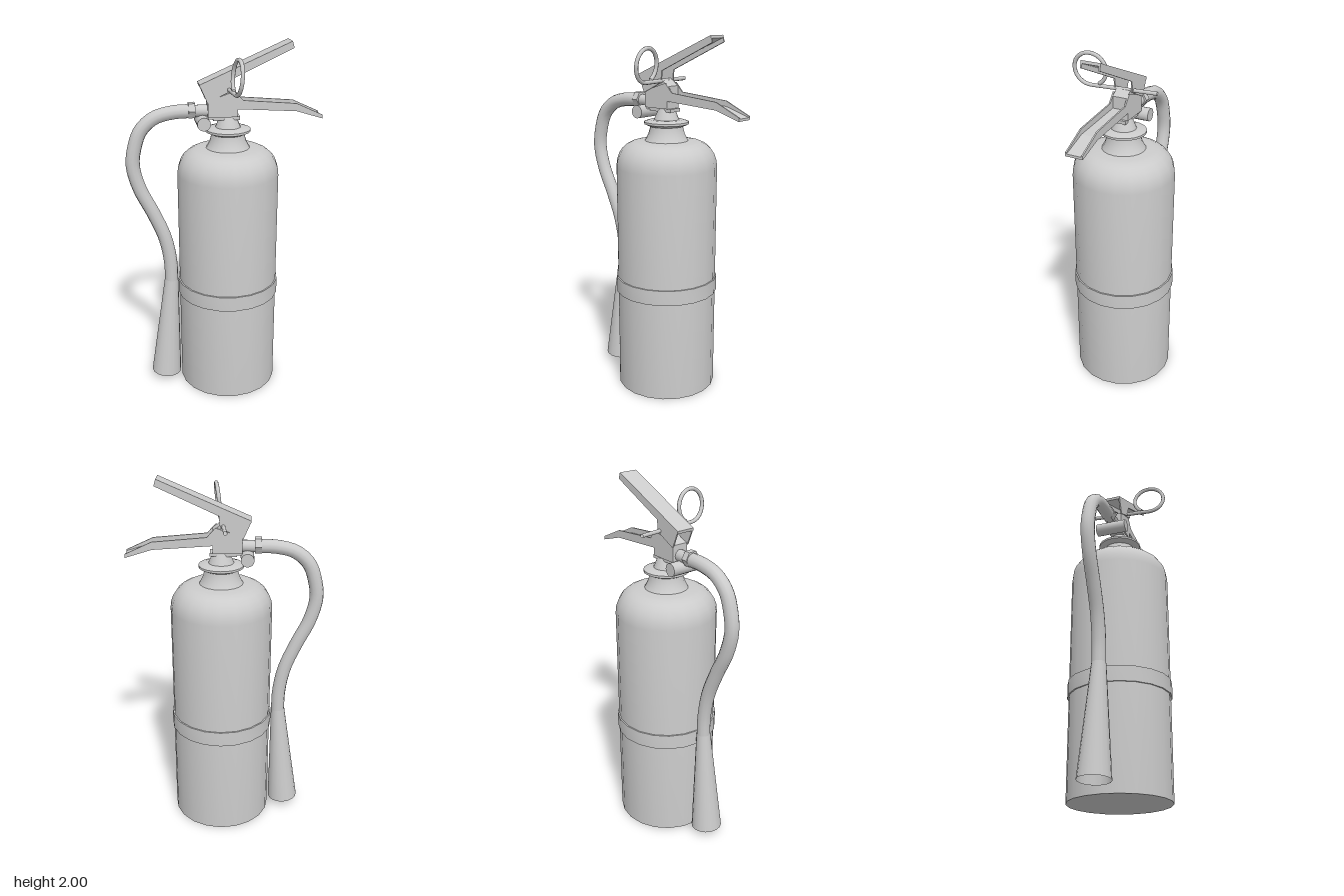
import * as THREE from 'three';
import { toCreasedNormals } from 'three/addons/utils/BufferGeometryUtils.js';

const AXIS = 0.025; // x of the cylinder axis
const material = new THREE.MeshStandardMaterial({ color: 0xcccccc });
const openMaterial = new THREE.MeshStandardMaterial({ color: 0xcccccc, side: THREE.DoubleSide });
const v = (x, y, z = 0) => new THREE.Vector3(x, y, z);

function part(parent, name, geometry, mat = material) {
  const mesh = new THREE.Mesh(geometry, mat);
  mesh.name = name;
  parent.add(mesh);
  return mesh;
}

// Turned part around the cylinder axis, from [radius, y] pairs
function turned(parent, name, profile, sides) {
  const geometry = new THREE.LatheGeometry(profile.map(([r, y]) => new THREE.Vector2(r, y)), sides);
  part(parent, name, toCreasedNormals(geometry, 0.6)).position.x = AXIS;
}

// Side profile in x, y extruded from z0 to z1
function slab(parent, name, points, z0, z1) {
  const shape = new THREE.Shape(points.map(([x, y]) => new THREE.Vector2(x, y)));
  const geometry = new THREE.ExtrudeGeometry(shape, { depth: z1 - z0, bevelEnabled: false });
  geometry.translate(0, 0, z0);
  part(parent, name, geometry);
}

// Folded sheet channel: one web plate and two mirrored cheeks
function channel(parent, name, web, cheek, half, thickness) {
  const group = new THREE.Group();
  group.name = name;
  slab(group, name + 'Web', web, -half, half);
  slab(group, name + 'CheekFront', cheek, half - thickness, half);
  slab(group, name + 'CheekBack', cheek, -half, -half + thickness);
  parent.add(group);
}

// Cylinder lying along x or z
function rod(parent, name, axis, radius, length, center, sides) {
  const geometry = new THREE.CylinderGeometry(radius, radius, length, sides);
  if (axis === 'x') geometry.rotateZ(Math.PI / 2);
  else geometry.rotateX(Math.PI / 2);
  part(parent, name, toCreasedNormals(geometry, 0.6)).position.copy(center);
}

export function createModel() {
  const model = new THREE.Group();
  model.name = 'fireExtinguisher';

  // Tank with rounded shoulder
  const tank = [[0, 0], [0.28, 0], [0.28, 1.29]];
  for (let i = 1; i <= 6; i++) {
    const a = (i / 6) * Math.PI / 2;
    tank.push([0.16 + 0.12 * Math.cos(a), 1.29 + 0.14 * Math.sin(a)]);
  }
  tank.push([0.1, 1.435]);
  turned(model, 'tank', tank, 20);
  turned(model, 'band', [[0.276, 0.57], [0.288, 0.57], [0.288, 0.655], [0.276, 0.655]], 20);

  // Neck, collar and valve stem
  turned(model, 'neck', [[0.125, 1.425], [0.115, 1.44], [0.1, 1.47], [0.088, 1.515], [0.088, 1.525]], 20);
  turned(model, 'collar', [[0, 1.512], [0.095, 1.512], [0.123, 1.525], [0.123, 1.537], [0.09, 1.548], [0, 1.548]], 20);
  turned(model, 'valveStem', [[0.072, 1.54], [0.066, 1.555], [0.045, 1.605], [0, 1.605]], 16);

  // Valve body
  slab(model, 'valveBody', [[-0.088, 1.6], [0.07, 1.6], [0.07, 1.73], [0.03, 1.76], [-0.088, 1.7]], -0.04, 0.04);
  slab(model, 'valveBase', [[-0.06, 1.592], [0.085, 1.592], [0.085, 1.61], [-0.06, 1.61]], -0.04, 0.04);

  // Upper lever, open underneath
  channel(model, 'lever',
    [[-0.13, 1.772], [0.358, 1.985], [0.355, 2], [-0.133, 1.787]],
    [[-0.133, 1.785], [-0.092, 1.69], [0.03, 1.75], [0.035, 1.812], [0.366, 1.965], [0.355, 2]],
    0.053, 0.008);

  // Lower carrying handle, open above
  channel(model, 'handle',
    [[-0.02, 1.64], [0.07, 1.652], [0.39, 1.63], [0.535, 1.585], [0.535, 1.598], [0.392, 1.643], [0.07, 1.665], [-0.02, 1.653]],
    [[-0.088, 1.61], [0.07, 1.61], [0.07, 1.652], [0.39, 1.63], [0.535, 1.585], [0.535, 1.605],
      [0.39, 1.672], [0.1, 1.698], [0.055, 1.748], [-0.088, 1.7]],
    0.048, 0.008);

  // Side fitting and hose coupling
  rod(model, 'gaugeFitting', 'z', 0.036, 0.176, v(-0.115, 1.585), 16);
  rod(model, 'hoseOutlet', 'x', 0.032, 0.1, v(-0.115, 1.64), 16);
  rod(model, 'hoseNut', 'x', 0.045, 0.036, v(-0.172, 1.645), 6);

  // Hose
  const hosePath = new THREE.CatmullRomCurve3([
    v(-0.17, 1.64), v(-0.27, 1.636), v(-0.37, 1.61), v(-0.445, 1.545), v(-0.482, 1.45), v(-0.495, 1.35),
    v(-0.465, 1.22), v(-0.395, 1.07), v(-0.335, 0.92), v(-0.307, 0.77), v(-0.304, 0.62),
  ]);
  part(model, 'hose', new THREE.TubeGeometry(hosePath, 40, 0.038, 12));

  // Flared nozzle, open at the bottom
  const nozzleTop = v(-0.304, 0.655);
  const nozzleEnd = v(-0.349, 0.045);
  const nozzle = part(model, 'nozzle',
    new THREE.CylinderGeometry(0.039, 0.087, nozzleTop.distanceTo(nozzleEnd), 16, 1, true), openMaterial);
  nozzle.position.copy(nozzleTop).add(nozzleEnd).multiplyScalar(0.5);
  nozzle.quaternion.setFromUnitVectors(v(0, 1), nozzleTop.clone().sub(nozzleEnd).normalize());

  // Safety pin: straight shank curling into a ring, slightly skewed in x
  const pinPoint = (y, z) => v(0.018 + 0.1 * z + 0.1 * (y - 1.757), y, z);
  const pin = [-0.18, -0.06, 0.06, 0.15].map((z) => pinPoint(1.757, z));
  for (let i = 0; i <= 16; i++) {
    const a = (i / 16) * 1.83 * Math.PI;
    pin.push(pinPoint(1.845 - 0.088 * Math.cos(a), 0.184 + 0.088 * Math.sin(a)));
  }
  part(model, 'safetyPin', new THREE.TubeGeometry(new THREE.CatmullRomCurve3(pin), 64, 0.011, 8), openMaterial);

  return model;
}
